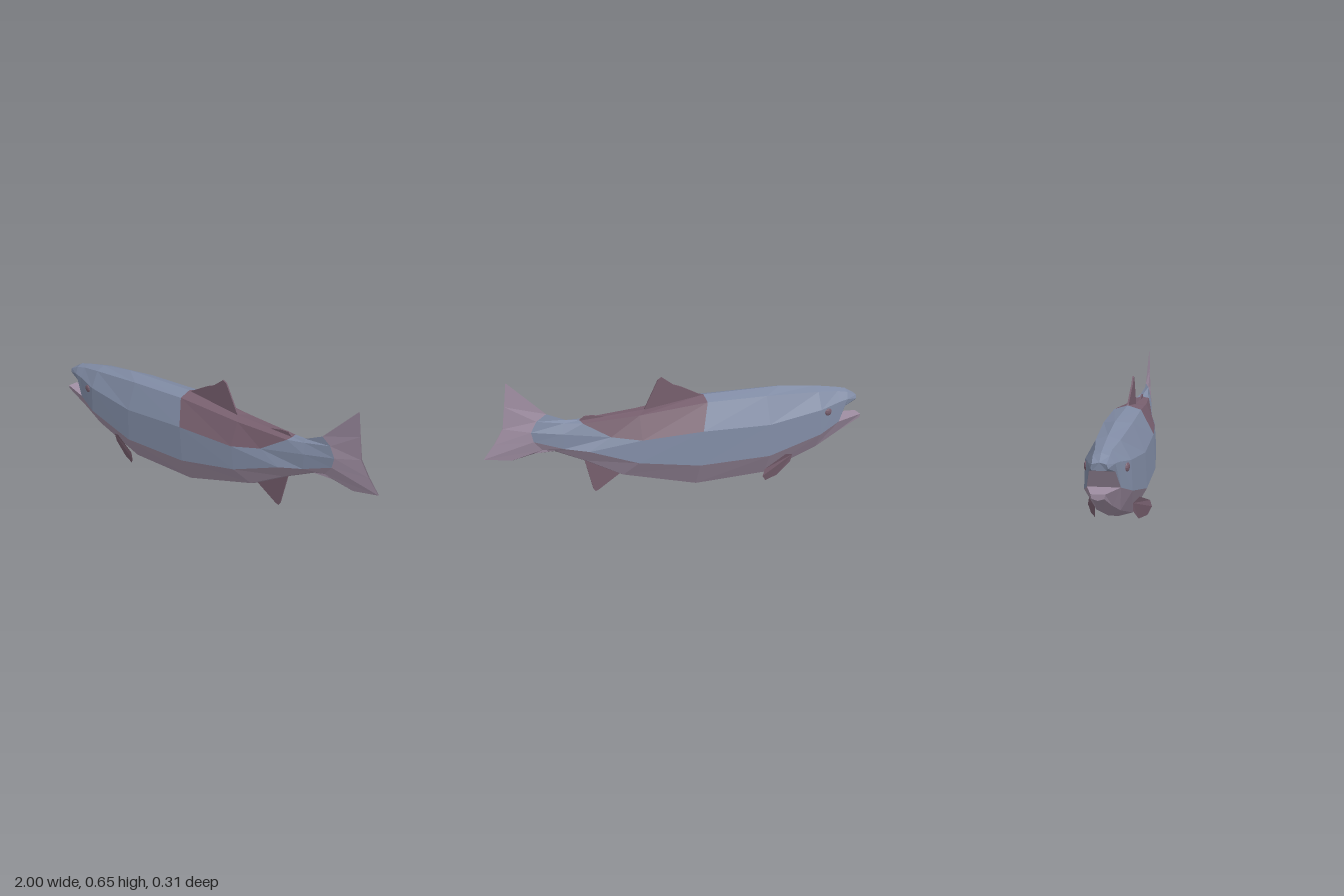
import * as THREE from 'three';

const mat = (name, color) => {
  const m = new THREE.MeshStandardMaterial({ color, flatShading: true, side: THREE.DoubleSide });
  m.name = name;
  return m;
};

// Side-view lines along the body, head to tail, as [x, y].
const ridge = [[-0.85, 0.438], [-0.73, 0.458], [-0.53, 0.48], [-0.11, 0.48], [0.2, 0.435], [0.53, 0.418], [0.6, 0.43], [0.69, 0.47], [0.87, 0.648]];
const shoulder = [[-0.85, 0.425], [-0.73, 0.44], [-0.43, 0.457], [-0.11, 0.46], [0.24, 0.427], [0.52, 0.413], [0.61, 0.42], [0.74, 0.44], [0.885, 0.53]];
const flank = [[-0.85, 0.375], [-0.73, 0.355], [-0.43, 0.32], [-0.07, 0.33], [0.24, 0.312], [0.39, 0.337], [0.62, 0.37], [0.77, 0.39], [0.9, 0.42]];
const waist = [[-0.85, 0.265], [-0.73, 0.22], [-0.43, 0.15], [-0.05, 0.15], [0.26, 0.195], [0.5, 0.275], [0.62, 0.295], [0.76, 0.34], [0.945, 0.345]];
const chine = [[-0.85, 0.185], [-0.73, 0.13], [-0.43, 0.03], [-0.05, 0.022], [0.33, 0.12], [0.51, 0.215], [0.66, 0.283], [0.72, 0.29], [1, 0.275]];
const keel = [[-0.85, 0.165], [-0.73, 0.105], [-0.43, 0.01], [-0.05, 0.002], [0.33, 0.1], [0.51, 0.2], [0.66, 0.272], [0.76, 0.272], [0.87, 0.25]];

// Half width of each section, and the share of it that each line takes.
const halfWidth = [0.072, 0.106, 0.134, 0.134, 0.106, 0.072, 0.042, 0.018, 0.004];
const share = [0, 0.5, 0.94, 1, 0.5, 0];
const sections = halfWidth.map((w, s) =>
  [ridge, shoulder, flank, waist, chine, keel].map((line, r) => [...line[s], w * share[r]]));

// Jaw sections, each ending at the matching rows of the first body section.
const upperJaw = [
  [[-0.96, 0.396, 0], [-0.965, 0.39, 0.03], [-0.965, 0.372, 0.036], [-0.96, 0.362, 0.03]],
  [[-0.91, 0.425, 0], [-0.91, 0.413, 0.035], [-0.9, 0.38, 0.057], [-0.89, 0.343, 0.055]],
  sections[0].slice(0, 4),
];
const lowerJaw = [
  [[-1, 0.275, 0.03], [-1, 0.256, 0.026], [-1, 0.248, 0]],
  sections[0].slice(3),
];

const flip = ([x, y, z]) => [x, y, -z];

// Adds a quad, with an optional mirrored copy.
function quad(out, a, b, c, d, mirrored = true) {
  out.push(...a, ...b, ...c, ...a, ...c, ...d);
  if (mirrored) {
    const [e, f, g, h] = [a, b, c, d].map(flip);
    out.push(...e, ...g, ...f, ...e, ...h, ...g);
  }
}

// Lofts through rings; pick(section, row) returns the list that receives each quad.
function loft(rings, pick) {
  for (let s = 0; s < rings.length - 1; s++) {
    for (let r = 0; r < rings[s].length - 1; r++) {
      const [A, B] = [rings[s], rings[s + 1]];
      quad(pick(s, r), A[r], A[r + 1], B[r + 1], B[r]);
    }
  }
}

function surface(name, coords, material) {
  const g = new THREE.BufferGeometry();
  g.setAttribute('position', new THREE.Float32BufferAttribute(coords, 3));
  g.computeVertexNormals();
  const m = new THREE.Mesh(g, material);
  m.name = name;
  return m;
}

// Thin upright fin from a side outline.
function fin(name, outline, material) {
  const shape = new THREE.Shape(outline.map(p => new THREE.Vector2(...p)));
  const g = new THREE.ExtrudeGeometry(shape, { depth: 0.008, bevelEnabled: false });
  g.translate(0, 0, -0.004);
  const m = new THREE.Mesh(g, material);
  m.name = name;
  return m;
}

export function createModel() {
  const fish = new THREE.Group();
  fish.name = 'fish';
  const blue = mat('slate blue', 0x808ba4);
  const pale = mat('pale mauve', 0xa08fa3);
  const dark = mat('dark mauve', 0x775f6e);

  // Body, belly, saddle patch and tail fin
  const back = [], belly = [], saddle = [], tail = [];
  loft(sections, (s, r) => {
    if (s === 7) return tail;
    if (r >= 3) return belly;
    return r < 2 && (s === 3 || s === 4) ? saddle : back;
  });

  // Open jaws with mouth lining, snout and chin
  const mouth = [];
  loft(upperJaw, () => back);
  loft(lowerJaw, () => belly);
  const [nose, lip, corner] = upperJaw.map(s => s[3]);
  const [chin, chinLow, chinKeel] = lowerJaw[0];
  quad(mouth, nose, flip(nose), flip(lip), lip, false);
  quad(mouth, lip, flip(lip), flip(corner), corner, false);
  quad(mouth, chin, corner, flip(corner), flip(chin), false);
  quad(belly, chinKeel, chinLow, chin, [-1, 0.275, 0]);
  const [top, brow, cheek] = upperJaw[0];
  quad(back, top, [-0.96, 0.362, 0], nose, brow);
  quad(back, brow, nose, cheek, brow);

  fish.add(
    surface('back', back, blue),
    surface('belly', belly, pale),
    surface('saddlePatch', saddle, dark),
    surface('tailFin', tail, pale),
    surface('mouthLining', mouth, pale),
  );

  // Fins on the centre line
  fish.add(
    fin('dorsalFin', [[-0.1, 0.47], [-0.09, 0.483], [0.01, 0.535], [0.05, 0.55], [0.11, 0.595], [0.13, 0.582], [0.2, 0.44], [0.2, 0.41]], dark),
    fin('adiposeFin', [[0.38, 0.4], [0.4, 0.424], [0.47, 0.437], [0.505, 0.437], [0.53, 0.415], [0.52, 0.4]], dark),
    fin('analFin', [[0.33, 0.11], [0.45, 0.03], [0.465, 0.025], [0.475, 0.04], [0.515, 0.21], [0.45, 0.2]], dark),
  );

  // Paired pectoral fins and eyes
  const outline = [[-0.58, 0.12, 0.088], [-0.53, 0.137, 0.112], [-0.4, 0.085, 0.145], [-0.385, 0.05, 0.153],
    [-0.41, 0.015, 0.134], [-0.49, 0.02, 0.102], [-0.57, 0.08, 0.086]];
  for (const side of [1, -1]) {
    const pts = outline.map(([x, y, z]) => [x, y, z * side]);
    const fan = [];
    for (let i = 1; i < pts.length - 1; i++) {
      const [b, c] = side > 0 ? [pts[i + 1], pts[i]] : [pts[i], pts[i + 1]];
      fan.push(...pts[0], ...b, ...c);
    }
    fish.add(surface(side > 0 ? 'leftPectoralFin' : 'rightPectoralFin', fan, dark));

    const eye = new THREE.Mesh(new THREE.SphereGeometry(0.024, 8, 6), dark);
    eye.name = side > 0 ? 'leftEye' : 'rightEye';
    eye.scale.set(1, 0.85, 0.4);
    eye.position.set(-0.775, 0.335, 0.088 * side);
    eye.rotation.y = -0.22 * side;
    fish.add(eye);
  }
  return fish;
}
